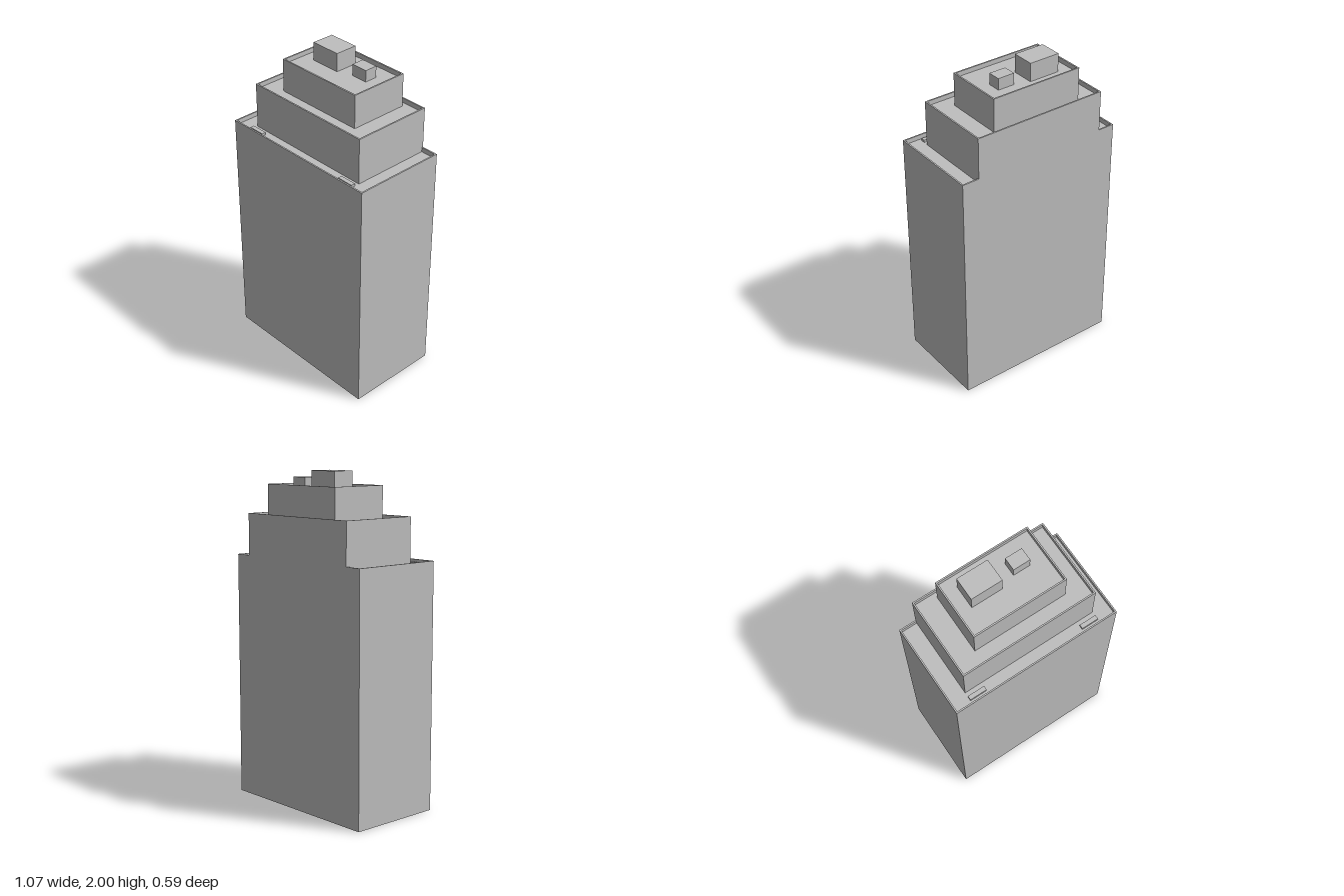
import * as THREE from 'three';

const RIM = 0.009;    // parapet thickness
const DROP = 0.028;   // roof depth below the parapet top

const concrete = new THREE.MeshStandardMaterial({ color: 0xbfbfbf, side: THREE.DoubleSide });
concrete.name = 'concreteGrey';

// Rectangular ring of four corners, inset from the tier's footprint
function ring([x0, x1, z0, z1], inset, y) {
  return [
    [x0 + inset, y, z1 - inset], [x1 - inset, y, z1 - inset],
    [x1 - inset, y, z0 + inset], [x0 + inset, y, z0 + inset],
  ];
}

// Open-bottomed tier: outer wall, parapet top, parapet inside, sunken roof
function tier(name, footprint, base, top) {
  const rings = [
    ring(footprint, 0, base), ring(footprint, 0, top),
    ring(footprint, RIM, top), ring(footprint, RIM, top - DROP),
  ];
  const pos = [];
  const quad = (a, b, c, d) => pos.push(...a, ...b, ...c, ...a, ...c, ...d);
  for (let r = 0; r < rings.length - 1; r++) {
    for (let i = 0; i < 4; i++) {
      const j = (i + 1) % 4;
      quad(rings[r][i], rings[r][j], rings[r + 1][j], rings[r + 1][i]);
    }
  }
  quad(...rings[3]);
  const geo = new THREE.BufferGeometry();
  geo.setAttribute('position', new THREE.Float32BufferAttribute(pos, 3));
  geo.computeVertexNormals();
  const mesh = new THREE.Mesh(geo, concrete);
  mesh.name = name;
  return mesh;
}

// Solid block standing on a roof
function block(name, [x0, x1, z0, z1], base, top) {
  const mesh = new THREE.Mesh(new THREE.BoxGeometry(x1 - x0, top - base, z1 - z0), concrete);
  mesh.position.set((x0 + x1) / 2, (base + top) / 2, (z0 + z1) / 2);
  mesh.name = name;
  return mesh;
}

export function createModel() {
  const group = new THREE.Group();
  group.name = 'steppedBuilding';
  const tops = [1.488, 1.74, 1.916];
  const roofs = tops.map((t) => t - DROP);

  // Three stepped tiers; the lower two share the back wall plane
  group.add(
    tier('lowerTier', [-0.534, 0.534, -0.293, 0.293], 0, tops[0]),
    tier('middleTier', [-0.427, 0.427, -0.293, 0.211], roofs[0], tops[1]),
    tier('upperTier', [-0.293, 0.293, -0.253, 0.117], roofs[1], tops[2]),
  );

  // Rooftop plant rooms
  group.add(
    block('largeRoofBlock', [-0.205, -0.011, -0.177, -0.037], roofs[2], 2),
    block('smallRoofBlock', [0.079, 0.185, -0.148, -0.068], roofs[2], 1.958),
  );

  // Low planters on the front terrace
  for (const [name, x] of [['rightPlanter', -0.374], ['leftPlanter', 0.373]]) {
    group.add(block(name, [x - 0.053, x + 0.053, 0.239, 0.265], roofs[0], 1.475));
  }
  return group;
}
